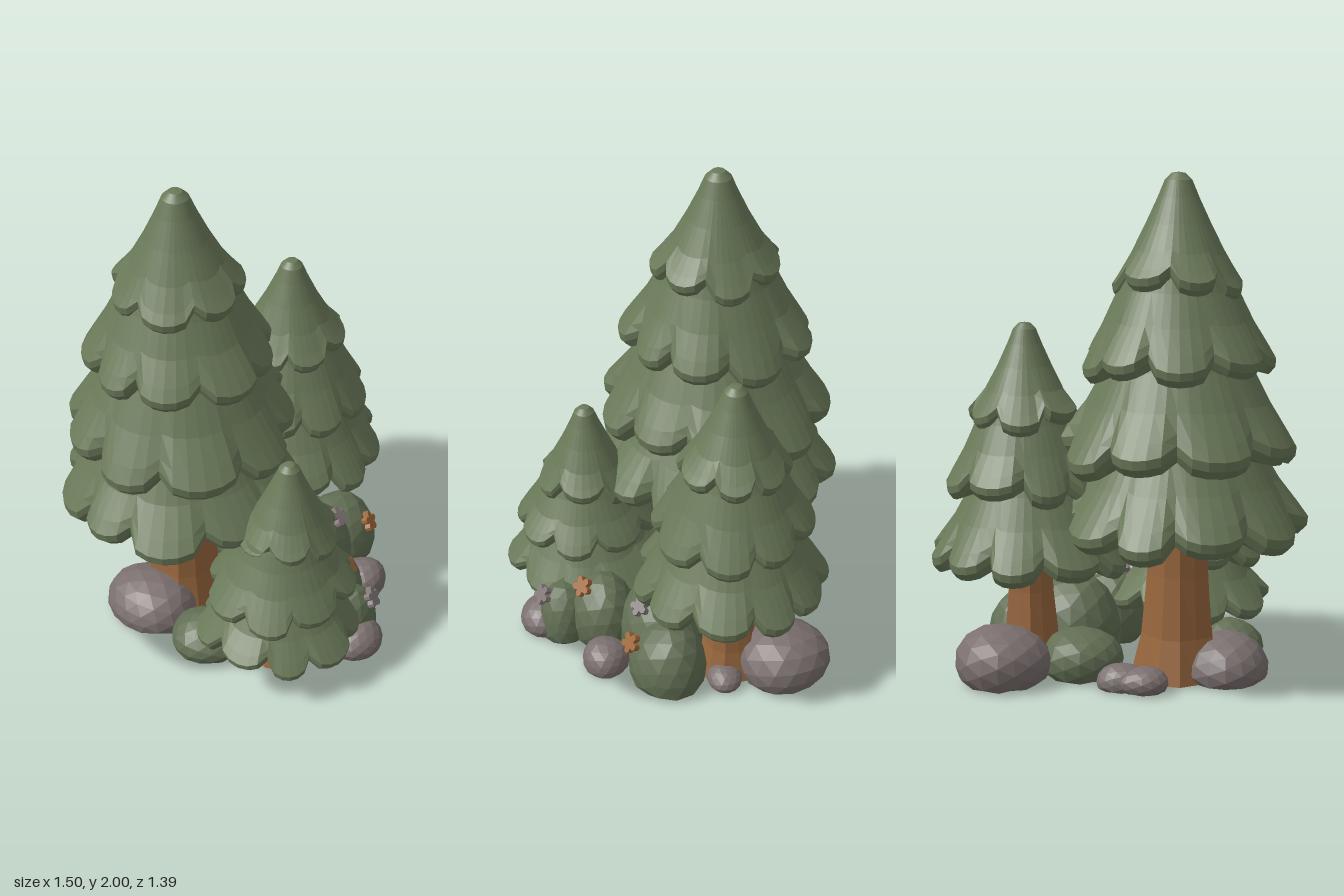
import * as THREE from 'three';

const mat = (name, color) => {
  const m = new THREE.MeshStandardMaterial({ color, flatShading: true });
  m.name = name;
  return m;
};

// Small seeded random
function seeded(seed) {
  let s = seed * 7919 + 13;
  return () => ((s = (s * 16807 + 11) % 2147483647) / 2147483647);
}

// Skin over rings of points, listed from top to bottom
function skin(rings) {
  const n = rings[0].length, pos = rings.flat(2), idx = [];
  for (let j = 0; j < rings.length - 1; j++) {
    for (let i = 0; i < n; i++) {
      const a = j * n + i, b = j * n + (i + 1) % n;
      idx.push(a, b, a + n, b, b + n, a + n);
    }
  }
  const g = new THREE.BufferGeometry();
  g.setAttribute('position', new THREE.Float32BufferAttribute(pos, 3));
  g.setIndex(idx);
  g.computeVertexNormals();
  return g;
}

// Skirts of drooping rounded lobes; profile rows are [radius 0..1, height 0..1, lobe strength]
const SKIRT = [[0, 1, 0], [0.5, 0.97, 0], [0.6, 0.72, 0.05], [0.76, 0.4, 0.25], [0.92, 0.15, 0.75],
  [1, 0.02, 1], [0.99, -0.06, 1], [0.93, -0.13, 1], [0.72, -0.08, 0.6], [0.3, -0.03, 0], [0, -0.02, 0]];
const CROWN = [[0, 1, 0], [0.1, 0.99, 0], [0.2, 0.93, 0], [0.3, 0.78, 0], [0.48, 0.54, 0.05], [0.7, 0.28, 0.3], [0.9, 0.1, 0.8],
  [1, 0.02, 1], [0.98, -0.05, 1], [0.92, -0.1, 1], [0.68, -0.05, 0.6], [0.3, 0, 0], [0, 0.02, 0]];

function tierGeometry(profile, top, rim, R, lobes, seed) {
  const rnd = seeded(seed), per = 6, phase = rnd() * 6.28;
  const size = [], drop = [];
  for (let k = 0; k < lobes; k++) {
    size.push(0.96 + rnd() * 0.08);
    drop.push((rnd() - 0.5) * 0.06);
  }
  return skin(profile.map(([r, h, w]) => {
    const ring = [];
    for (let i = 0; i < lobes * per; i++) {
      const k = Math.floor(i / per), u = (i % per) / per;
      const bulge = Math.sqrt(Math.sin(Math.PI * u));       // 0 in the crease, 1 mid lobe
      const mix = (v) => (u === 0 ? (v[k] + v[(k + lobes - 1) % lobes]) / 2 : v[k]);
      const a = phase + (i / (lobes * per)) * Math.PI * 2 + 0.06 * Math.sin(i * 2.1 / per + seed);
      const rad = R * r * (1 + w * (mix(size) - 1 - 0.14 * (1 - bulge)));
      const y = rim + (top - rim) * h + w * (mix(drop) + 0.055 * (1 - bulge));
      ring.push([Math.cos(a) * rad, y, Math.sin(a) * rad]);
    }
    return ring;
  }));
}

// Fluted trunk with a flared foot
function trunkGeometry(rTop, rBase, height, seed) {
  const n = 12;
  const rows = [[0, 1], [rTop, 1], [rTop * 1.05, 0.6], [rTop * 0.6 + rBase * 0.4, 0.25], [rBase, 0], [0, 0]];
  return skin(rows.map(([r, h]) => Array.from({ length: n }, (_, i) => {
    const a = (i / n) * Math.PI * 2 + seed;
    const rr = r * (1 + 0.08 * Math.sin(i * 2.6 + seed) * (1.3 - h));
    return [Math.cos(a) * rr, h * height, Math.sin(a) * rr];
  })));
}

// Lumpy dome with a broad flat foot, for rocks and bushes
function lumpGeometry(rx, h, rz, seed, rough) {
  const g = new THREE.IcosahedronGeometry(1, 2), p = g.attributes.position;
  for (let i = 0; i < p.count; i++) {
    const x = p.getX(i), y = p.getY(i), z = p.getZ(i);
    const k = 1 + rough * (Math.sin(x * 3.1 + seed) + Math.sin(y * 3.7 + seed * 2) + Math.sin(z * 3.3 + seed * 3));
    p.setXYZ(i, x * k * rx, Math.max(0, h * (0.32 + 0.68 * y * k)), z * k * rz);
  }
  g.computeVertexNormals();
  return g;
}

function flowerGeometry() {
  const s = new THREE.Shape();
  for (let i = 0; i < 20; i++) {
    const a = (i / 20) * Math.PI * 2, r = [0.045, 0.04, 0.024, 0.04][i % 4];
    s[i ? 'lineTo' : 'moveTo'](Math.cos(a) * r, Math.sin(a) * r);
  }
  s.closePath();
  return new THREE.ExtrudeGeometry(s, { depth: 0.026, bevelEnabled: false });
}

export function createModel() {
  const model = new THREE.Group();
  model.name = 'pineGrove';
  const needle = mat('needleGreen', 0x6a7959);
  const leaf = mat('bushGreen', 0x626f54);
  const bark = mat('barkBrown', 0x98673e);
  const stone = mat('stoneGrey', 0x7b706f);
  const orange = mat('petalOrange', 0xa0683a);
  const grey = mat('petalGrey', 0x857a7a);

  const add = (parent, name, geo, material, x = 0, y = 0, z = 0) => {
    const m = new THREE.Mesh(geo, material);
    m.name = name;
    m.position.set(x, y, z);
    parent.add(m);
    return m;
  };

  // Trees: tiers are [top, rim, radius, lobes, x shift]
  const trees = [
    { name: 'tallTree', x: -0.235, z: -0.2, trunk: [0.115, 0.175, 0.7], tiers: [
      [2, 1.57, 0.265, 7, 0], [1.66, 1.27, 0.39, 9, 0], [1.38, 0.925, 0.475, 9, -0.005], [1.06, 0.625, 0.505, 10, -0.02]] },
    { name: 'middleTree', x: 0.365, z: -0.13, trunk: [0.085, 0.14, 0.55], tiers: [
      [1.41, 1.035, 0.225, 7, 0.005], [1.12, 0.765, 0.325, 8, 0.005], [0.86, 0.475, 0.4, 10, -0.01]] },
    { name: 'smallTree', x: -0.25, z: 0.355, trunk: [0.08, 0.12, 0.3], tiers: [
      [0.98, 0.63, 0.205, 6, 0.02], [0.67, 0.385, 0.305, 8, -0.02], [0.47, 0.185, 0.335, 9, -0.03]] },
  ];
  trees.forEach((t, ti) => {
    const g = new THREE.Group();
    g.name = t.name;
    g.position.set(t.x, 0, t.z);
    model.add(g);
    add(g, 'trunk', trunkGeometry(...t.trunk, ti + 1), bark, ti === 2 ? -0.025 : -0.01, 0.004);
    t.tiers.forEach(([top, rim, R, lobes, dx], i) =>
      add(g, 'branchTier', tierGeometry(i ? SKIRT : CROWN, top, rim, R, lobes, ti * 10 + i + 1), needle, dx));
  });

  // Bushes: x, z, width radius, height, depth radius
  [[0.0, 0.5, 0.125, 0.24, 0.11], [0.06, 0.35, 0.15, 0.3, 0.14], [0.2, 0.12, 0.19, 0.35, 0.18],
    [0.37, 0.14, 0.18, 0.27, 0.17], [0.14, -0.2, 0.17, 0.19, 0.17], [-0.45, 0.1, 0.135, 0.16, 0.15],
  ].forEach(([x, z, rx, h, rz], i) => add(model, 'bush', lumpGeometry(rx, h, rz, i + 2, 0.03), leaf, x, 0, z));

  // Underside joining the bushes, an outline of x, z points facing down
  const outline = new THREE.CatmullRomCurve3([[0.4, 0.34], [0.53, 0.14], [0.42, -0.1], [0.14, -0.36], [-0.08, -0.35], [-0.27, -0.38],
    [-0.52, -0.27], [-0.6, -0.08], [-0.58, 0.15], [-0.46, 0.27], [-0.32, 0.34], [-0.16, 0.43], [0.08, 0.53], [0.24, 0.38],
  ].map(([x, z]) => new THREE.Vector3(x, z, 0)), true);
  const cover = new THREE.ShapeGeometry(new THREE.Shape(outline.getPoints(56).map((p) => new THREE.Vector2(p.x, p.y))));
  add(model, 'groundCover', cover.rotateX(Math.PI / 2), leaf);

  // Rocks: x, z, width radius, height, depth radius
  [[0.445, -0.335, 0.19, 0.23, 0.19], [-0.43, -0.22, 0.185, 0.18, 0.19], [-0.11, -0.42, 0.1, 0.1, 0.09], [-0.03, -0.39, 0.1, 0.1, 0.09],
    [-0.055, 0.595, 0.11, 0.13, 0.09], [0.26, 0.375, 0.105, 0.12, 0.1], [0.47, -0.08, 0.08, 0.09, 0.07],
  ].forEach(([x, z, rx, h, rz], i) => add(model, 'rock', lumpGeometry(rx, h, rz, i * 1.7, 0.03), stone, x, 0.003, z));

  // Flowers resting on the bushes: position, facing direction, colour
  const star = flowerGeometry();
  [[[0.02, 0.225, 0.585], [0.3, 0.5, 0.8], grey], [[0.065, 0.275, 0.425], [0.4, 0.6, 0.7], orange],
    [[0.26, 0.29, 0.22], [0.3, 0.7, 0.65], grey], [[0.39, 0.22, 0.285], [0.35, 0.5, 0.8], orange],
  ].forEach(([p, d, m]) => {
    const f = add(model, 'flower', star, m, ...p);
    f.quaternion.setFromUnitVectors(new THREE.Vector3(0, 0, 1), new THREE.Vector3(...d).normalize());
  });
  return model;
}
